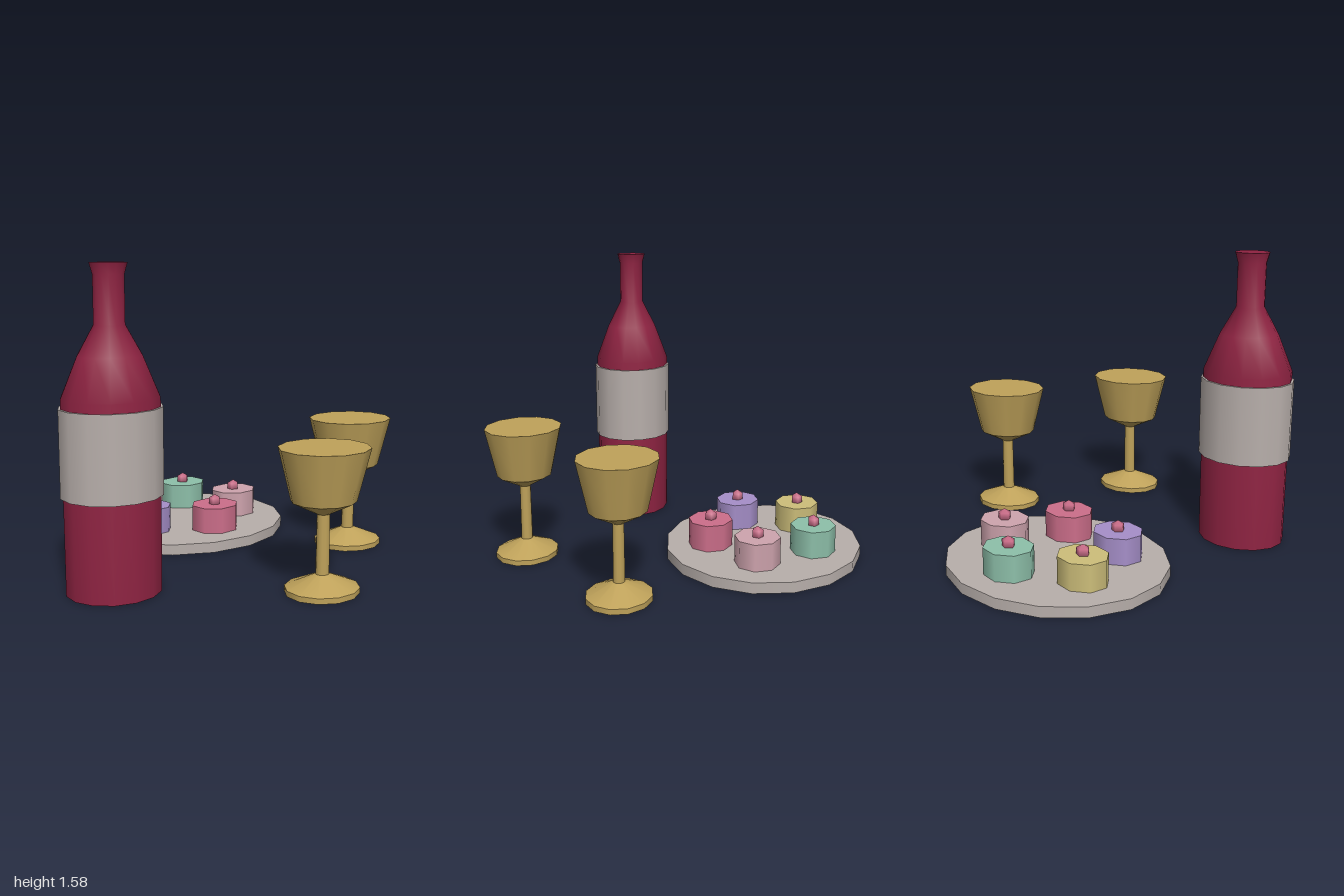
import * as THREE from 'three';

const mat = (name, color) => {
  const m = new THREE.MeshStandardMaterial({ color });
  m.name = name;
  return m;
};

// Round parts are slightly narrower in depth than in width
const DEPTH = 0.885;

export function createModel() {
  const model = new THREE.Group();
  model.name = 'wineAndCakes';

  const wine = mat('wineRed', 0x8f2342);
  const stone = mat('warmGrey', 0xb8afab);
  const gold = mat('gold', 0xbfa25a);
  const rose = mat('rose', 0xcc6e8a);
  const icings = [
    mat('palePink', 0xcfa4ae),
    rose,
    mat('lilac', 0xa68fc9),
    mat('paleYellow', 0xcdbe7a),
    mat('mint', 0x8ec0aa),
  ];

  const group = (name, x, z, parent = model) => {
    const g = new THREE.Group();
    g.name = name;
    g.position.set(x, 0, z);
    parent.add(g);
    return g;
  };
  const add = (parent, name, geometry, material, y = 0) => {
    const m = new THREE.Mesh(geometry, material);
    m.name = name;
    m.position.y = y;
    m.scale.z = DEPTH;
    parent.add(m);
    return m;
  };
  // Upright drum with a corner on the x axis
  const drum = (r, h, sides) =>
    new THREE.CylinderGeometry(r, r, h, sides, 1, false, Math.PI / 2).translate(0, h / 2, 0);
  // Turned shape; a repeated point makes a sharp edge
  const turned = (points, sides) =>
    new THREE.LatheGeometry(points.map(([r, y]) => new THREE.Vector2(r, y)), sides, Math.PI / 2);

  // Bottle with a wrapped label
  const bottle = group('bottle', -0.7, 0.405);
  add(bottle, 'bottleGlass', turned([
    [0, 0], [0.237, 0], [0.237, 0], [0.24, 0.95], [0.158, 1.145], [0.076, 1.29],
    [0.076, 1.52], [0.092, 1.575], [0.092, 1.575], [0, 1.575],
  ], 14), wine);
  add(bottle, 'label', drum(0.252, 0.425, 14), stone, 0.48);

  // Two goblets
  const gobletShape = turned([
    [0, 0], [0.188, 0], [0.188, 0], [0.188, 0.028], [0.188, 0.028], [0.034, 0.092],
    [0.034, 0.092], [0.032, 0.39], [0.032, 0.39], [0.163, 0.455], [0.163, 0.455],
    [0.228, 0.715], [0.228, 0.715], [0, 0.715],
  ], 12);
  for (const [x, z] of [[0.228, 0.793], [0.72, 0.16]]) {
    add(group('goblet', x, z), 'gobletBody', gobletShape, gold);
  }

  // Plate with a ring of five cakes, each topped by a cherry
  const plate = group('cakePlate', -0.045, -0.47);
  add(plate, 'plate', drum(0.6, 0.057, 16), stone);
  const cakeShape = drum(0.135, 0.143, 8);
  const cherryShape = new THREE.SphereGeometry(0.04, 5, 3).rotateY(-Math.PI / 2);
  // Turn one corner of the cherry to the back
  cherryShape.rotateY(Math.PI);
  const first = new THREE.Vector3().fromBufferAttribute(cherryShape.attributes.position, 6);
  cherryShape.rotateY(Math.PI - Math.atan2(first.x, first.z));
  icings.forEach((icing, i) => {
    const a = (i / 5) * Math.PI * 2;
    const cake = group('cake', 0.328 * Math.cos(a), 0.328 * DEPTH * Math.sin(a), plate);
    add(cake, 'cakeBody', cakeShape, icing, 0.057);
    add(cake, 'cherry', cherryShape, rose, 0.215);
  });

  return model;
}
